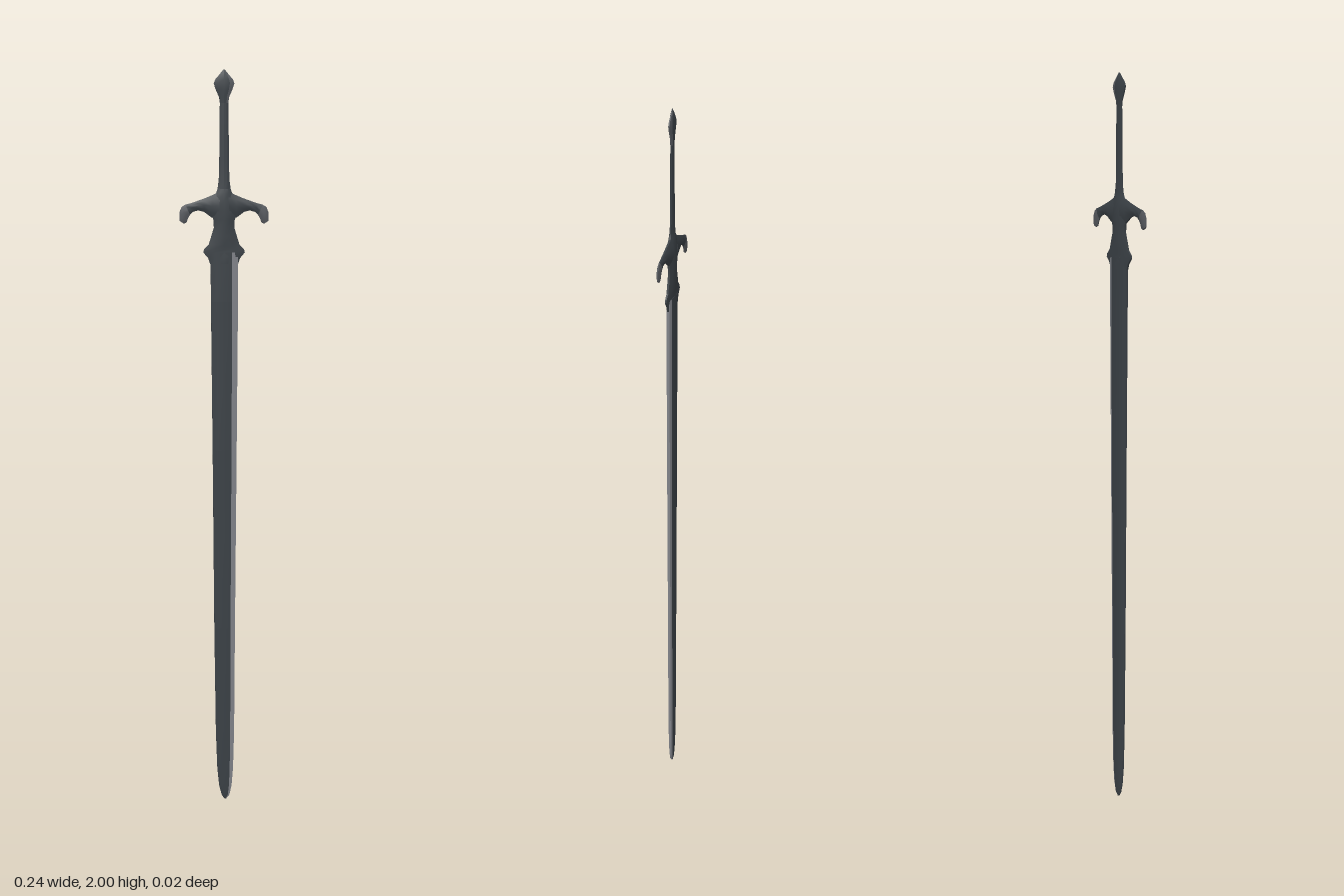
import * as THREE from 'three';
import { toCreasedNormals } from 'three/addons/utils/BufferGeometryUtils.js';

const material = (name, color) => {
  const m = new THREE.MeshStandardMaterial({ color });
  m.name = name;
  return m;
};

// Cross-sections run from side a (t = 0) to side b (t = 1) over the front, then back again: [t, z factor].
const RIDGED = [[0, 0.3], [0.22, 0.75], [0.5, 1], [0.78, 0.75], [1, 0.3],
  [1, -0.3], [0.78, -0.75], [0.5, -1], [0.22, -0.75], [0, -0.3]];
const BLADE = [[0, 0.35], [0.2, 1], [0.78, 1], [1, 0.55],
  [1, -0.55], [0.86, -1], [0.2, -1], [0, -0.35]];

// Lofts a section through stations [ax, ay, bx, by, halfDepth]; accent lists the strips using the second material.
function loft(name, stations, section, materials, accent = []) {
  const rings = stations.map(([ax, ay, bx, by, z]) => section.map(([t, f]) =>
    new THREE.Vector3(ax + (bx - ax) * t, ay + (by - ay) * t, z * f)));
  const n = section.length;
  const buckets = [[], []];
  const tri = (bucket, ...pts) => pts.forEach((p) => bucket.push(p));
  for (let i = 0; i < rings.length - 1; i++) {
    for (let k = 0; k < n; k++) {
      const l = (k + 1) % n;
      const bucket = buckets[accent.includes(k) ? 1 : 0];
      tri(bucket, rings[i][k], rings[i][l], rings[i + 1][l]);
      tri(bucket, rings[i][k], rings[i + 1][l], rings[i + 1][k]);
    }
  }
  // End caps
  const first = rings[0], last = rings[rings.length - 1];
  for (let k = 1; k < n - 1; k++) {
    tri(buckets[0], first[0], first[k + 1], first[k]);
    tri(buckets[0], last[0], last[k], last[k + 1]);
  }
  let g = new THREE.BufferGeometry().setFromPoints([...buckets[0], ...buckets[1]]);
  g = toCreasedNormals(g, 0.45);
  g.clearGroups();
  g.addGroup(0, buckets[0].length, 0);
  if (buckets[1].length) g.addGroup(buckets[0].length, buckets[1].length, 1);
  const mesh = new THREE.Mesh(g, materials);
  mesh.name = name;
  return mesh;
}

// Symmetric upright station
const row = ([y, w, z]) => [-w, y, w, y, z];

export function createModel() {
  const sword = new THREE.Group();
  sword.name = 'sword';
  const dark = material('darkSteel', 0x3a4045);
  const light = material('polishedEdge', 0x808288);
  const mid = material('wornSteel', 0x55585d);

  // Blade with one polished cutting edge: [y, left, right, half depth]
  const blade = [
    [0, 0.001, 0.006, 0.002], [0.012, -0.007, 0.015, 0.004], [0.04, -0.014, 0.021, 0.005],
    [0.09, -0.019, 0.025, 0.006], [0.2, -0.023, 0.028, 0.0065], [0.5, -0.027, 0.03, 0.0065],
    [1, -0.031, 0.034, 0.007], [1.4, -0.035, 0.037, 0.007], [1.53, -0.036, 0.037, 0.007],
  ].map(([y, l, r, z]) => [l, y, r, y, z]);
  sword.add(loft('blade', blade, BLADE, [dark, light], [2, 3, 4]));

  // Collar with lugs, neck and guard centre
  const collar = [
    [1.5, 0.037, 0.008], [1.515, 0.042, 0.008], [1.53, 0.055, 0.007], [1.538, 0.053, 0.007],
    [1.55, 0.041, 0.008], [1.572, 0.034, 0.009], [1.595, 0.027, 0.009], [1.615, 0.028, 0.01],
    [1.64, 0.036, 0.01], [1.665, 0.034, 0.01], [1.685, 0.021, 0.008], [1.7, 0.016, 0.006],
  ].map(row);
  sword.add(loft('guardCentre', collar, RIDGED, [dark]));

  // Drooping guard arms with flared ends: upper point, lower point, half depth
  const arm = [
    [0.01, 1.69, 0.015, 1.615, 0.01], [0.03, 1.68, 0.034, 1.622, 0.008],
    [0.052, 1.671, 0.053, 1.636, 0.007], [0.072, 1.664, 0.068, 1.64, 0.006],
    [0.09, 1.658, 0.082, 1.636, 0.005], [0.102, 1.655, 0.09, 1.628, 0.005],
  ];
  const flare = [
    [0.102, 1.655, 0.09, 1.628, 0.005], [0.112, 1.649, 0.095, 1.62, 0.005],
    [0.118, 1.634, 0.099, 1.609, 0.005], [0.118, 1.613, 0.106, 1.605, 0.003],
  ];
  for (const [side, s] of [['left', 1], ['right', -1]]) {
    const place = (list) => list.map(([ax, ay, bx, by, z]) =>
      (s > 0 ? [ax, ay, bx, by, z] : [-bx, by, -ax, ay, z]));
    sword.add(loft(side + 'GuardArm', place(arm), RIDGED, [dark]));
    sword.add(loft(side + 'GuardTip', place(flare), RIDGED, [mid]));
  }

  // Grip
  const grip = [
    [1.69, 0.018, 0.007], [1.72, 0.014, 0.005], [1.78, 0.0125, 0.005],
    [1.86, 0.012, 0.0045], [1.92, 0.011, 0.0045],
  ].map(row);
  sword.add(loft('grip', grip, RIDGED, [dark]));

  // Pointed pommel
  const pommel = [
    [1.915, 0.011, 0.0045], [1.93, 0.013, 0.005], [1.95, 0.022, 0.006],
    [1.965, 0.027, 0.006], [1.975, 0.023, 0.005], [1.99, 0.01, 0.004], [2, 0.002, 0.001],
  ].map(row);
  sword.add(loft('pommel', pommel, RIDGED, [dark, mid], [3, 4, 5]));

  return sword;
}
